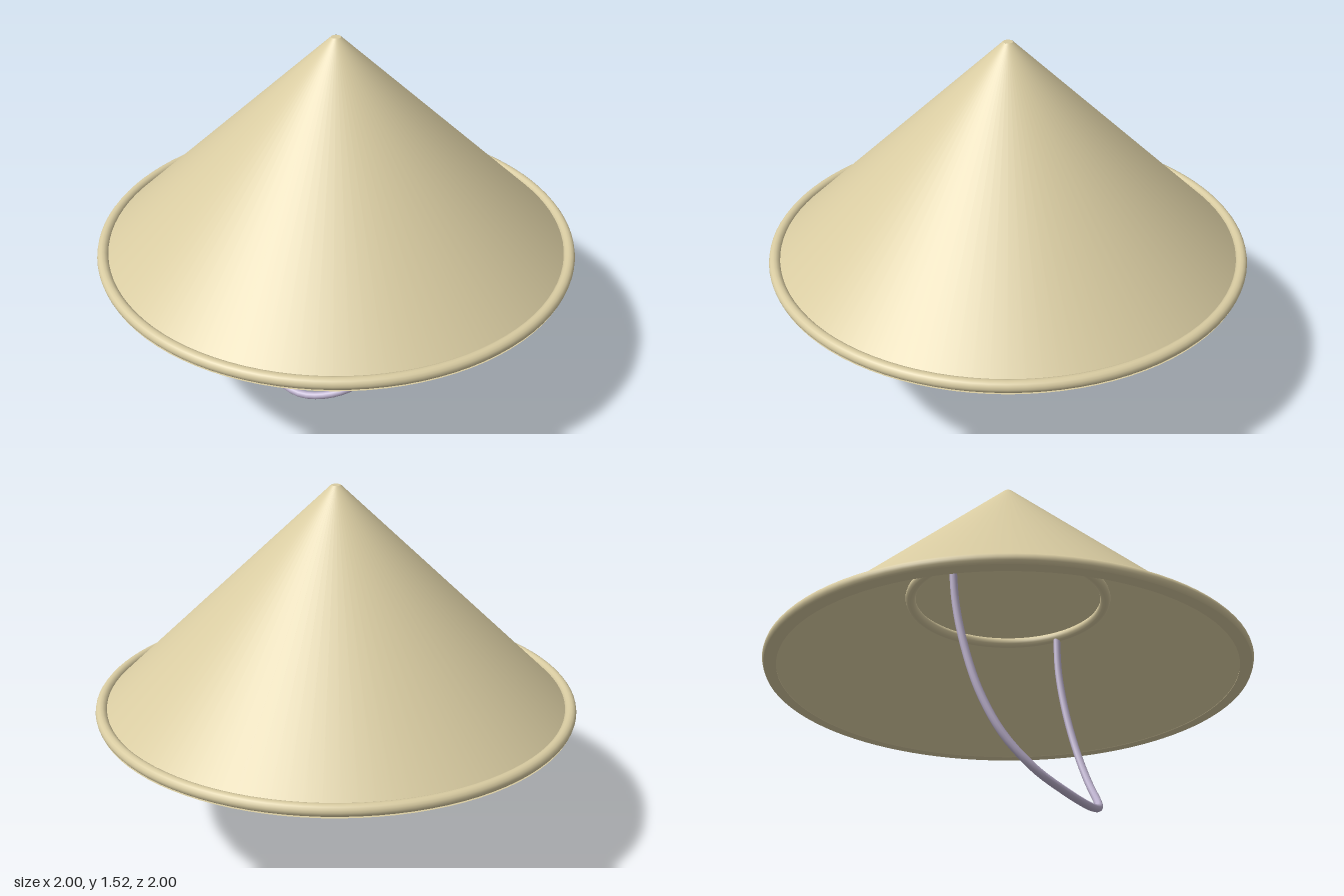
import * as THREE from 'three';

export function createModel() {
  const model = new THREE.Group();
  model.name = 'conicalHat';

  const straw = new THREE.MeshStandardMaterial({ color: 0xd8cba1, side: THREE.DoubleSide });
  straw.name = 'straw';
  const cordColor = new THREE.MeshStandardMaterial({ color: 0xbbb0cc });
  cordColor.name = 'lilacCord';

  const add = (name, geometry, material, y = 0) => {
    const mesh = new THREE.Mesh(geometry, material);
    mesh.name = name;
    mesh.position.y = y;
    model.add(mesh);
    return mesh;
  };

  // Woven shell: parallel outer and inner cones, open underneath, with a tiny flat tip
  const base = 0.606, top = 1.525;
  const cone = (name, tipRadius, baseRadius, peak) =>
    add(name, new THREE.CylinderGeometry(tipRadius, baseRadius, peak - base, 96, 1, true), straw, (base + peak) / 2);
  cone('outerCone', 0.02, 0.985, top);
  cone('innerCone', 0, 0.943, top - 0.02);
  add('tip', new THREE.CircleGeometry(0.02, 24).rotateX(-Math.PI / 2), straw, top);

  // Rim: rounded hoop with a flat underside closing the shell
  add('rim', new THREE.TorusGeometry(0.976, 0.024, 14, 96).rotateX(Math.PI / 2), straw, 0.627);
  add('rimUnderside', new THREE.RingGeometry(0.943, 0.992, 96, 1).rotateX(Math.PI / 2), straw, 0.603);

  // Head ring inside the hat
  add('headRing', new THREE.TorusGeometry(0.415, 0.022, 12, 72).rotateX(Math.PI / 2), straw, 0.972);

  // Chin cord: one side's points, mirrored, hanging forward from the head ring
  const side = [
    [0.415, 0.972, 0], [0.405, 0.79, 0.012], [0.392, 0.6, 0.048], [0.37, 0.4, 0.108],
    [0.325, 0.23, 0.185], [0.245, 0.105, 0.27], [0.14, 0.045, 0.325],
  ].map(p => new THREE.Vector3(...p));
  const mirrored = side.map(p => new THREE.Vector3(-p.x, p.y, p.z)).reverse();
  const path = new THREE.CatmullRomCurve3([...side, new THREE.Vector3(0, 0.017, 0.352), ...mirrored]);
  add('chinCord', new THREE.TubeGeometry(path, 64, 0.016, 10), cordColor);

  return model;
}
